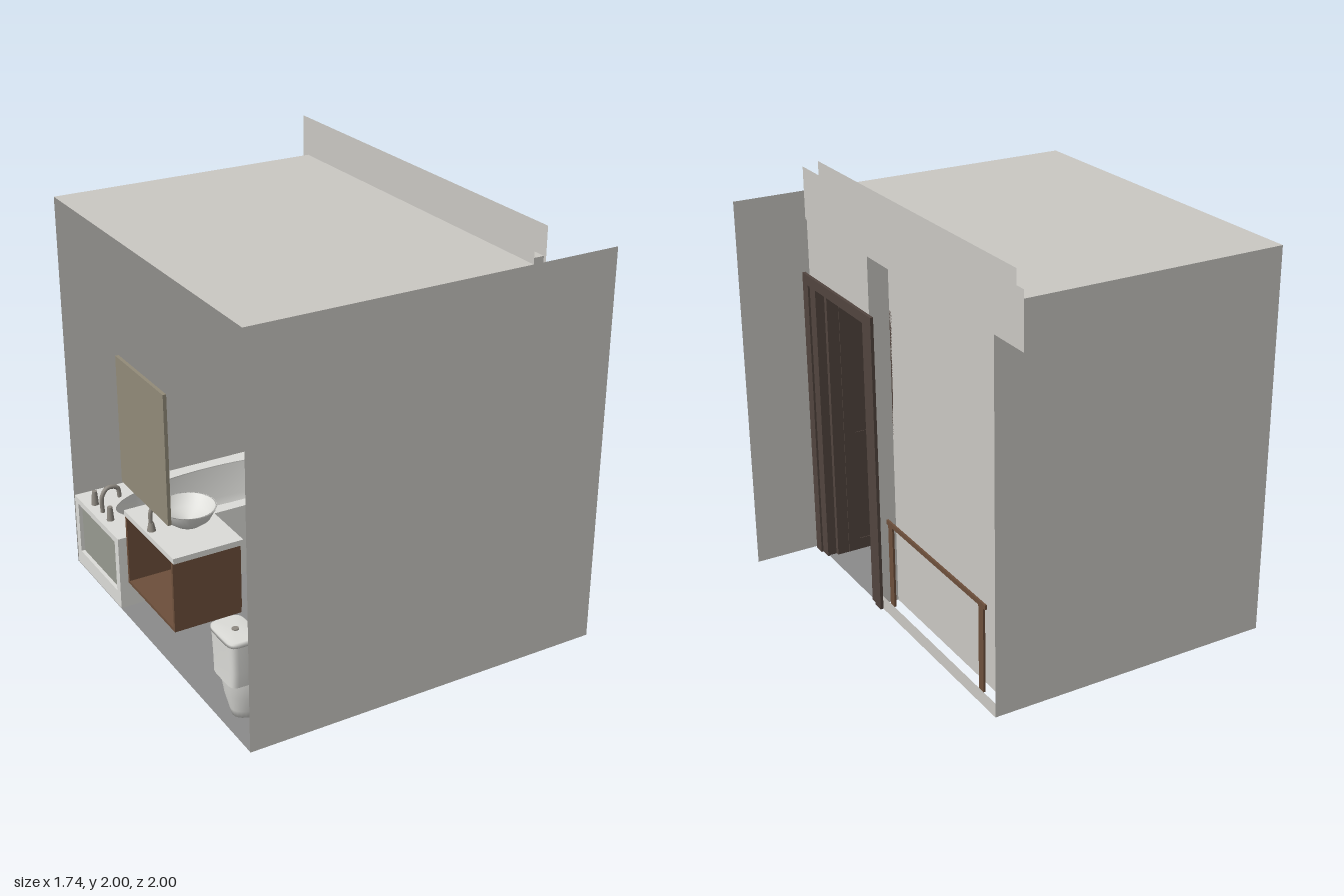
import * as THREE from 'three';

const mat = (name, color) => {
  const m = new THREE.MeshStandardMaterial({ color, side: THREE.DoubleSide });
  m.name = name;
  return m;
};

export function createModel() {
  const wall = mat('wall plaster', 0xcac8c3);
  const floorMat = mat('floor tile', 0x8b8b8b);
  const darkWood = mat('dark door wood', 0x52453f);
  const brown = mat('brown wood', 0x6d4f3b);
  const ceramic = mat('white ceramic', 0xdcdcd8);
  const mirrorMat = mat('mirror backing', 0x928b79);
  const metal = mat('metal', 0x8f8a82);
  const panelMat = mat('grey green panel', 0x989a90);

  const root = new THREE.Group();
  root.name = 'bathroom';
  const add = (name, geo, m, parent = root) => {
    const mesh = new THREE.Mesh(geo, m);
    mesh.name = name;
    parent.add(mesh);
    return mesh;
  };
  const group = (name) => {
    const g = new THREE.Group();
    g.name = name;
    root.add(g);
    return g;
  };
  // Box between two corners; a zero extent gives a flat sheet
  const block = (name, m, x0, x1, y0, y1, z0, z1, parent) => {
    let geo;
    if (x0 === x1) geo = new THREE.PlaneGeometry(z1 - z0, y1 - y0).rotateY(Math.PI / 2);
    else if (y0 === y1) geo = new THREE.PlaneGeometry(x1 - x0, z1 - z0).rotateX(-Math.PI / 2);
    else if (z0 === z1) geo = new THREE.PlaneGeometry(x1 - x0, y1 - y0);
    else geo = new THREE.BoxGeometry(x1 - x0, y1 - y0, z1 - z0);
    geo.translate((x0 + x1) / 2, (y0 + y1) / 2, (z0 + z1) / 2);
    return add(name, geo, m, parent);
  };
  // Smooth loft through rings [y, centreX, radiusX, radiusZ], rounded by exponent p
  const loft = (rings, p, n = 32) => {
    const pos = [], idx = [];
    const pw = (v) => Math.sign(v) * Math.pow(Math.abs(v), 2 / p);
    for (const [y, cx, rx, rz] of rings)
      for (let i = 0; i < n; i++) {
        const a = (i / n) * Math.PI * 2;
        pos.push(cx + rx * pw(Math.cos(a)), y, rz * pw(Math.sin(a)));
      }
    for (let r = 0; r < rings.length - 1; r++)
      for (let i = 0; i < n; i++) {
        const a = r * n + i, b = r * n + ((i + 1) % n);
        idx.push(a, a + n, b, b, a + n, b + n);
      }
    const g = new THREE.BufferGeometry();
    g.setAttribute('position', new THREE.Float32BufferAttribute(pos, 3));
    g.setIndex(idx);
    g.computeVertexNormals();
    return g;
  };
  const tube = (pts, r) => new THREE.TubeGeometry(
    new THREE.CatmullRomCurve3(pts.map((q) => new THREE.Vector3(...q))), 20, r, 8);

  // Room shell, open on the right side
  block('frontWall', wall, -0.87, 0.87, 0, 1.87, 1, 1);
  block('backWall', wall, -0.87, 0.54, 0, 1.87, -0.78, -0.78);
  block('ceiling', wall, -0.87, 0.44, 1.87, 1.87, -0.78, 1);
  block('recessedWall', wall, 0.44, 0.44, 0, 1.87, -0.78, 0.31);
  block('floor', floorMat, -0.87, 0.44, 0.004, 0.004, -0.78, 1);
  block('doorwayFloor', floorMat, 0.44, 0.54, 0.004, 0.004, 0.31, 0.93);
  block('innerFascia', wall, 0.44, 0.44, 1.87, 2, -0.78, 1);
  block('outerFascia', wall, 0.54, 0.54, 1.75, 2, -1, 0.95);
  block('curb', wall, 0.54, 0.54, 0, 0.07, -0.78, 0.28);
  block('wallAboveDoor', wall, 0.44, 0.54, 1.46, 1.868, 0.31, 0.935);
  for (const z of [0.31, 0.935]) block('doorwayReturn', wall, 0.44, 0.54, 0, 1.46, z, z);
  const light = add('downlight', new THREE.CylinderGeometry(0.04, 0.045, 0.02, 24), metal);
  light.position.set(-0.21, 1.858, 0.54);

  // Door frame
  const frame = group('doorFrame');
  for (const [x0, x1] of [[0.54, 0.555], [0.425, 0.44]]) {
    block('casingRear', darkWood, x0, x1, 0, 1.48, 0.27, 0.325, frame);
    block('casingFront', darkWood, x0, x1, 0, 1.48, 0.93, 0.985, frame);
    block('casingHead', darkWood, x0, x1, 1.43, 1.48, 0.325, 0.93, frame);
  }
  block('jambRear', darkWood, 0.435, 0.545, 0, 1.45, 0.315, 0.375, frame);
  block('jambFront', darkWood, 0.435, 0.545, 0, 1.45, 0.872, 0.93, frame);
  block('jambHead', darkWood, 0.435, 0.545, 1.432, 1.46, 0.37, 0.88, frame);

  // Door leaf swung open along the front wall
  const door = group('openDoor');
  block('leaf', darkWood, -0.02, 0.5, 0.008, 1.43, 0.848, 0.872, door);
  for (const x of [-0.02, 0.38]) block('stile', darkWood, x, x + 0.06, 0.01, 1.43, 0.844, 0.848, door);
  for (const y of [0.01, 0.6, 1.37]) block('crossRail', darkWood, 0.04, 0.38, y, y + 0.06, 0.844, 0.848, door);
  for (const s of [-1, 1]) {
    const z = 0.86 + s * 0.016;
    block('handlePlate', metal, 0.01, 0.04, 0.64, 0.7, z - 0.003, z + 0.003, door);
    add('handle', tube([[0.025, 0.67, z], [0.025, 0.67, z + s * 0.035], [0.06, 0.67, z + s * 0.04],
      [0.13, 0.67, z + s * 0.04]], 0.007), metal, door);
  }

  // Railing in front of the recess
  const railing = group('railing');
  block('topRail', brown, 0.53, 0.54, 0.485, 0.507, -0.695, 0.205, railing);
  for (const z of [-0.68, 0.15]) block('post', brown, 0.53, 0.54, 0.07, 0.485, z, z + 0.04, railing);

  // Bathtub along the back wall
  const tub = group('bathtub');
  block('tubBase', ceramic, -0.868, 0.435, 0.002, 0.08, -0.775, -0.27, tub);
  const rim = new THREE.Shape().moveTo(-0.868, -0.775).lineTo(0.435, -0.775).lineTo(0.435, -0.27).lineTo(-0.868, -0.27);
  const hole = new THREE.Path();
  hole.absellipse(-0.2, -0.52, 0.56, 0.19, 0, Math.PI * 2, true);
  rim.holes.push(hole);
  add('tubRim', new THREE.ExtrudeGeometry(rim, { depth: 0.03, bevelEnabled: false, curveSegments: 32 })
    .rotateX(Math.PI / 2).translate(0, 0.37, 0), ceramic, tub);
  add('basin', loft([[0.365, -0.2, 0.56, 0.19], [0.2, -0.2, 0.53, 0.17], [0.1, -0.2, 0.46, 0.13], [0.09, -0.2, 0.01, 0.01]], 2), ceramic, tub)
    .position.z = -0.52;
  block('tubSide', ceramic, -0.868, 0.435, 0.08, 0.34, -0.285, -0.27, tub);
  for (const z of [-0.775, -0.31]) block('endPost', ceramic, -0.868, -0.85, 0.08, 0.34, z, z + 0.04, tub);
  block('endPanel', panelMat, -0.85, -0.845, 0.08, 0.34, -0.735, -0.31, tub);
  add('spout', tube([[-0.82, 0.37, -0.55], [-0.82, 0.45, -0.55], [-0.79, 0.49, -0.55], [-0.74, 0.48, -0.55],
    [-0.73, 0.43, -0.55]], 0.011), metal, tub);
  for (const z of [-0.64, -0.46]) {
    add('tapHandle', new THREE.CylinderGeometry(0.012, 0.018, 0.07, 16), metal, tub).position.set(-0.82, 0.405, z);
  }

  // Vanity: hollow cabinet with its back open
  const vanity = group('vanity');
  block('cabinetBottom', brown, -0.868, -0.54, 0.195, 0.21, -0.17, 0.315, vanity);
  block('cabinetFront', brown, -0.555, -0.54, 0.21, 0.54, -0.17, 0.315, vanity);
  for (const z of [-0.17, 0.3]) block('cabinetSide', brown, -0.868, -0.555, 0.21, 0.54, z, z + 0.015, vanity);
  for (const z of [-0.16, 0.08]) block('drawerFront', brown, -0.54, -0.533, 0.215, 0.53, z, z + 0.225, vanity);
  block('counter', ceramic, -0.868, -0.53, 0.54, 0.567, -0.18, 0.325, vanity);
  const bowl = [[0.01, 0], [0.06, 0], [0.1, 0.03], [0.13, 0.085], [0.122, 0.085], [0.09, 0.035], [0.01, 0.012]];
  add('vesselBasin', new THREE.LatheGeometry(bowl.map((q) => new THREE.Vector2(...q)), 32), ceramic, vanity)
    .position.set(-0.67, 0.567, 0.07);
  add('basinFaucet', tube([[-0.84, 0.567, 0.05], [-0.84, 0.66, 0.05], [-0.82, 0.69, 0.05], [-0.76, 0.68, 0.05]], 0.01), metal, vanity);
  add('faucetFoot', new THREE.CylinderGeometry(0.012, 0.02, 0.04, 16), metal, vanity).position.set(-0.84, 0.587, 0.05);

  // Mirror above the vanity
  const mirror = group('mirror');
  block('mirrorFrame', mirrorMat, -0.868, -0.852, 0.71, 1.32, -0.185, 0.287, mirror);
  block('mirrorGlass', panelMat, -0.852, -0.848, 0.73, 1.3, -0.165, 0.267, mirror);

  // Toilet facing the doorway
  const toilet = group('toilet');
  toilet.position.z = 0.737;
  add('bowlBody', loft([[0.001, -0.66, 0.01, 0.01], [0.001, -0.66, 0.15, 0.065], [0.04, -0.66, 0.16, 0.075],
    [0.12, -0.65, 0.19, 0.1], [0.19, -0.64, 0.21, 0.112], [0.225, -0.64, 0.215, 0.11]], 2.3), ceramic, toilet);
  add('seat', loft([[0.225, -0.63, 0.01, 0.01], [0.225, -0.63, 0.205, 0.108], [0.23, -0.63, 0.215, 0.115],
    [0.242, -0.63, 0.215, 0.115], [0.245, -0.63, 0.2, 0.105]], 2.3), ceramic, toilet);
  add('seatLid', loft([[0.246, -0.63, 0.205, 0.108], [0.25, -0.63, 0.215, 0.114], [0.26, -0.63, 0.21, 0.112],
    [0.265, -0.63, 0.18, 0.095], [0.267, -0.63, 0.01, 0.01]], 2.3), ceramic, toilet);
  add('tank', loft([[0.2, -0.79, 0.07, 0.095], [0.27, -0.79, 0.07, 0.1], [0.4, -0.79, 0.075, 0.103]], 5), ceramic, toilet);
  add('tankLid', loft([[0.4, -0.79, 0.01, 0.01], [0.4, -0.79, 0.078, 0.107], [0.416, -0.79, 0.078, 0.107],
    [0.422, -0.79, 0.07, 0.1], [0.422, -0.79, 0.01, 0.01]], 5), ceramic, toilet);
  add('flushButton', new THREE.CylinderGeometry(0.015, 0.015, 0.006, 16), metal, toilet).position.set(-0.79, 0.424, 0);

  return root;
}
